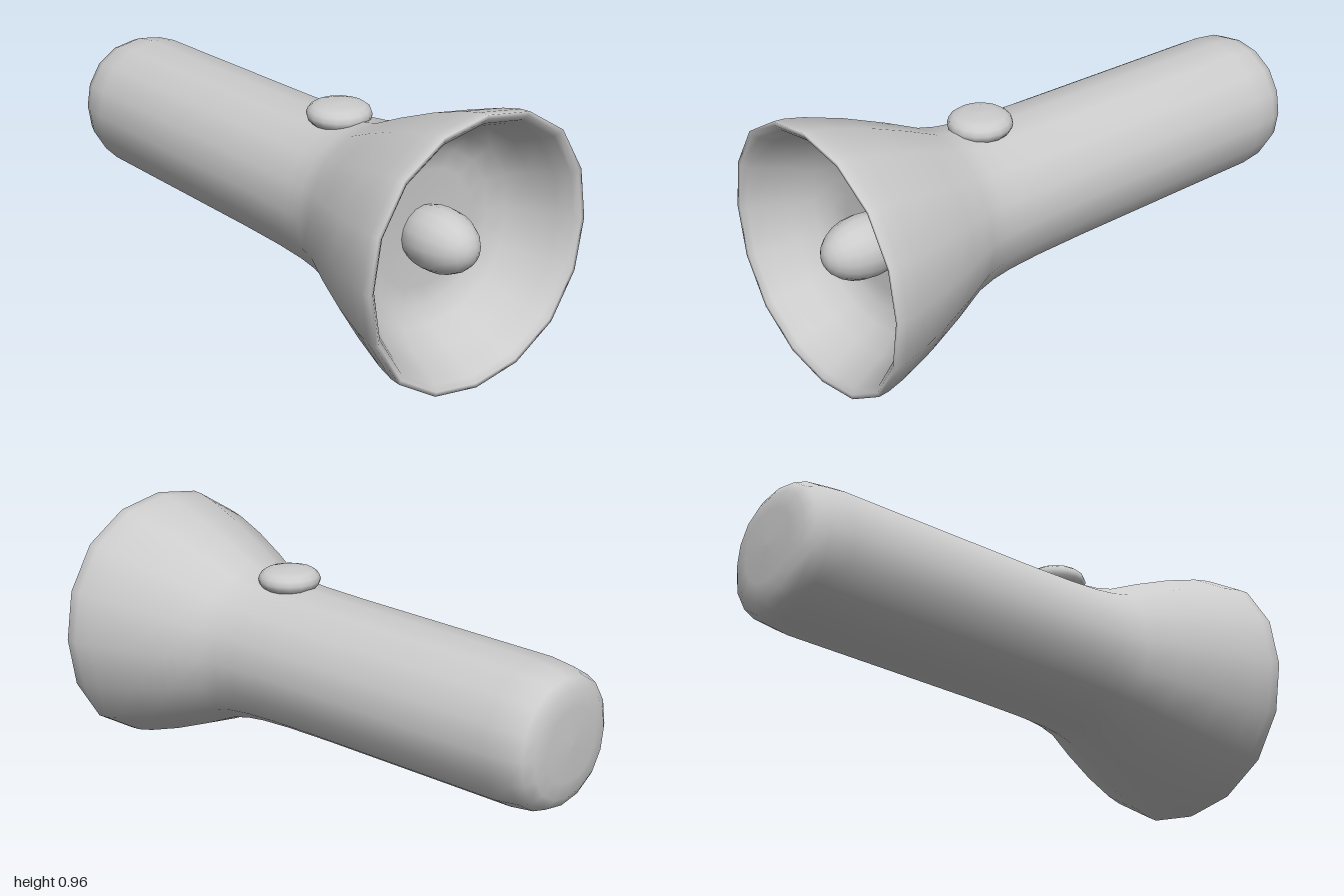
import * as THREE from 'three';

const SIDES = 16;
const AXIS_Y = 0.484;

function part(name, geometry, x, y, z) {
  const material = new THREE.MeshStandardMaterial({ color: 0xcccccc });
  const mesh = new THREE.Mesh(geometry, material);
  mesh.name = name;
  mesh.position.set(x, y, z);
  return mesh;
}

function lathe(profile) {
  return new THREE.LatheGeometry(profile.map(([r, h]) => new THREE.Vector2(r, h)), SIDES);
}

// Swells a turned shape slightly on its diagonals
function squareOff(geometry, amount) {
  const p = geometry.attributes.position;
  for (let i = 0; i < p.count; i++) {
    const x = p.getX(i), z = p.getZ(i);
    const k = 1 + amount * Math.sin(2 * Math.atan2(z, x)) ** 2;
    p.setX(i, x * k);
    p.setZ(i, z * k);
  }
}

export function createModel() {
  const group = new THREE.Group();
  group.name = 'flashlight';

  // Handle, flared head and reflector bowl in one turned shell: [radius, z]
  const shell = lathe([
    [0, -1], [0.13, -0.996], [0.19, -0.988], [0.226, -0.965], [0.245, -0.92], [0.256, -0.83],
    [0.259, -0.4], [0.262, 0], [0.266, 0.2], [0.273, 0.33], [0.283, 0.41], [0.3, 0.48],
    [0.355, 0.6], [0.416, 0.75], [0.462, 0.89], [0.478, 0.96], [0.481, 1],
    [0.467, 0.999], [0.448, 0.983], [0.422, 0.93], [0.385, 0.85],
    [0.335, 0.78], [0.275, 0.742], [0.21, 0.727], [0, 0.723],
  ]);
  squareOff(shell, 0.025);
  shell.rotateX(Math.PI / 2);
  group.add(part('body', shell, 0, AXIS_Y, 0));

  // Egg-shaped bulb sunk into the reflector floor
  const bulb = new THREE.SphereGeometry(1, SIDES, 12);
  bulb.rotateX(Math.PI / 2);
  bulb.scale(0.112, 0.112, 0.16);
  group.add(part('bulb', bulb, 0, 0.471, 0.8));

  // Flattened round switch button
  const button = lathe([
    [0, -0.045], [0.07, -0.042], [0.098, -0.032], [0.111, -0.018], [0.115, -0.002],
    [0.109, 0.016], [0.092, 0.029], [0.06, 0.038], [0, 0.041],
  ]);
  group.add(part('switchButton', button, -0.005, 0.771, 0.295));

  return group;
}
